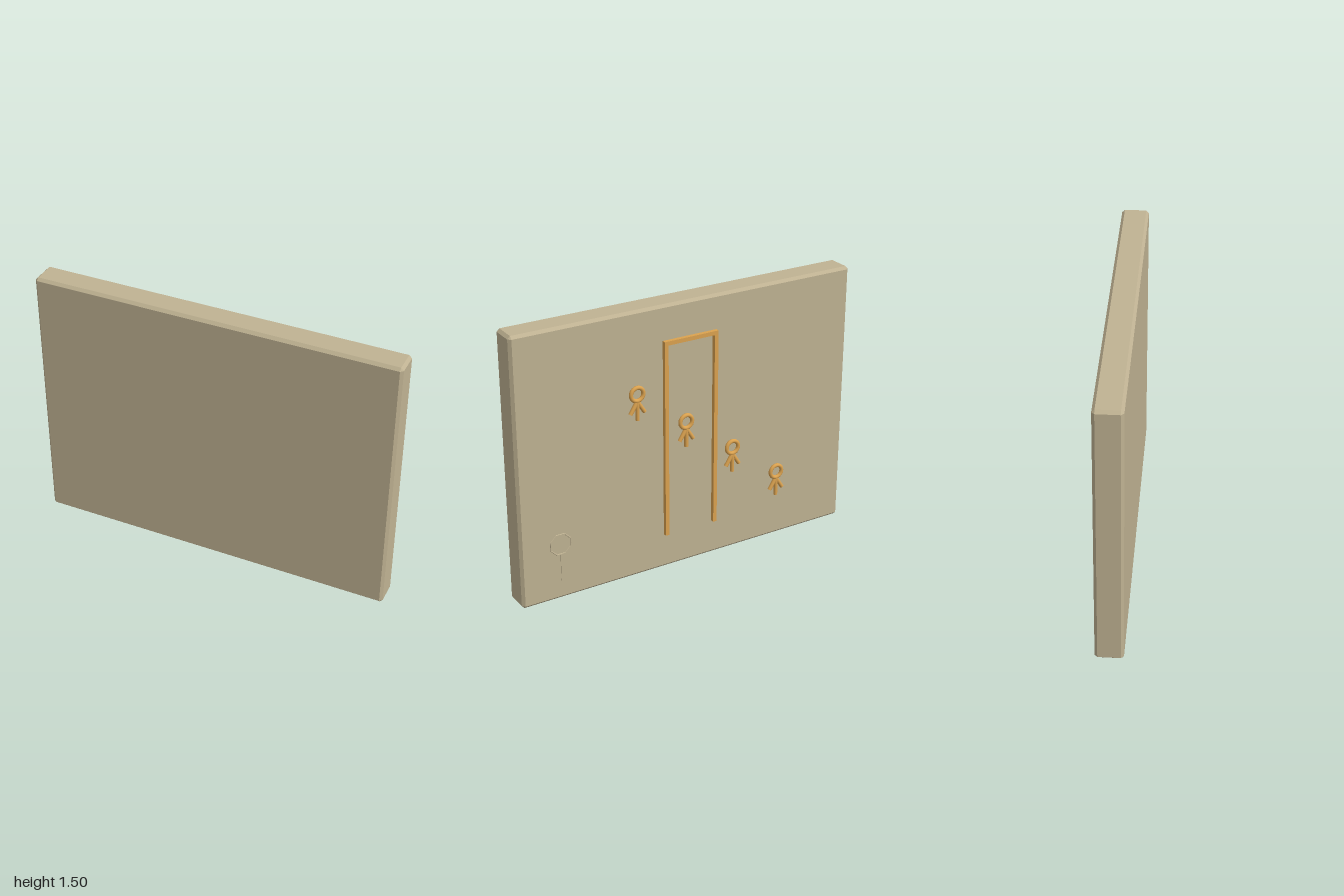
import * as THREE from 'three';
import { ConvexGeometry } from 'three/addons/geometries/ConvexGeometry.js';

const stone = new THREE.MeshStandardMaterial({ color: 0xbfb292, flatShading: true });
const gold = new THREE.MeshStandardMaterial({ color: 0xdba24f });

function add(parent, name, geometry, material, x = 0, y = 0, z = 0) {
  const mesh = new THREE.Mesh(geometry, material);
  mesh.name = name;
  mesh.position.set(x, y, z);
  parent.add(mesh);
  return mesh;
}

// Box with every edge chamfered by c
function chamferedBox(w, h, d, c) {
  const points = [];
  for (const sx of [-1, 1]) for (const sy of [-1, 1]) for (const sz of [-1, 1]) {
    const x = w / 2, y = h / 2, z = d / 2;
    points.push(
      new THREE.Vector3(sx * x, sy * (y - c), sz * (z - c)),
      new THREE.Vector3(sx * (x - c), sy * y, sz * (z - c)),
      new THREE.Vector3(sx * (x - c), sy * (y - c), sz * z));
  }
  return new ConvexGeometry(points);
}

// Rod between two points in the xy plane
function rod(parent, name, a, b, radius) {
  const dx = b[0] - a[0], dy = b[1] - a[1];
  const mesh = add(parent, name, new THREE.CylinderGeometry(radius, radius, Math.hypot(dx, dy), 16),
    gold, (a[0] + b[0]) / 2, (a[1] + b[1]) / 2);
  mesh.rotation.z = Math.atan2(-dx, dy);
}

// Ring with three short legs
function ringSymbol(x, y) {
  const group = new THREE.Group();
  group.name = 'ringSymbol';
  add(group, 'ring', new THREE.TorusGeometry(0.036, 0.011, 12, 32), gold);
  rod(group, 'middleLeg', [0, -0.04], [0, -0.143], 0.011);
  for (const s of [-1, 1]) rod(group, 'sideLeg', [s * 0.004, -0.045], [s * 0.041, -0.104], 0.011);
  group.position.set(x, y, -0.074);
  return group;
}

export function createModel() {
  const model = new THREE.Group();
  model.name = 'wallPanel';

  add(model, 'slab', chamferedBox(2, 1.5, 0.148, 0.015), stone, 0, 0.75, 0.011);

  // Door frame on the back face
  const bar = 0.022, zBar = -0.074;
  for (const s of [-1, 1]) {
    add(model, 'doorPost', new THREE.BoxGeometry(bar, 1.09, bar), gold, s * 0.149, 0.747, zBar);
  }
  add(model, 'lintel', new THREE.BoxGeometry(0.32, bar, bar), gold, 0, 1.299, zBar);

  // Descending row of ring symbols
  for (let i = 0; i < 4; i++) model.add(ringSymbol(0.317 - 0.29 * i, 1.057 - 0.22 * i));

  // Shallow octagonal loop on a stem
  const loop = add(model, 'loop', new THREE.TorusGeometry(0.061, 0.004, 6, 8), stone, 0.772, 0.32, -0.063);
  loop.rotation.z = Math.PI / 8;
  add(model, 'loopStem', new THREE.BoxGeometry(0.008, 0.152, 0.007), stone, 0.772, 0.185, -0.063);

  return model;
}
